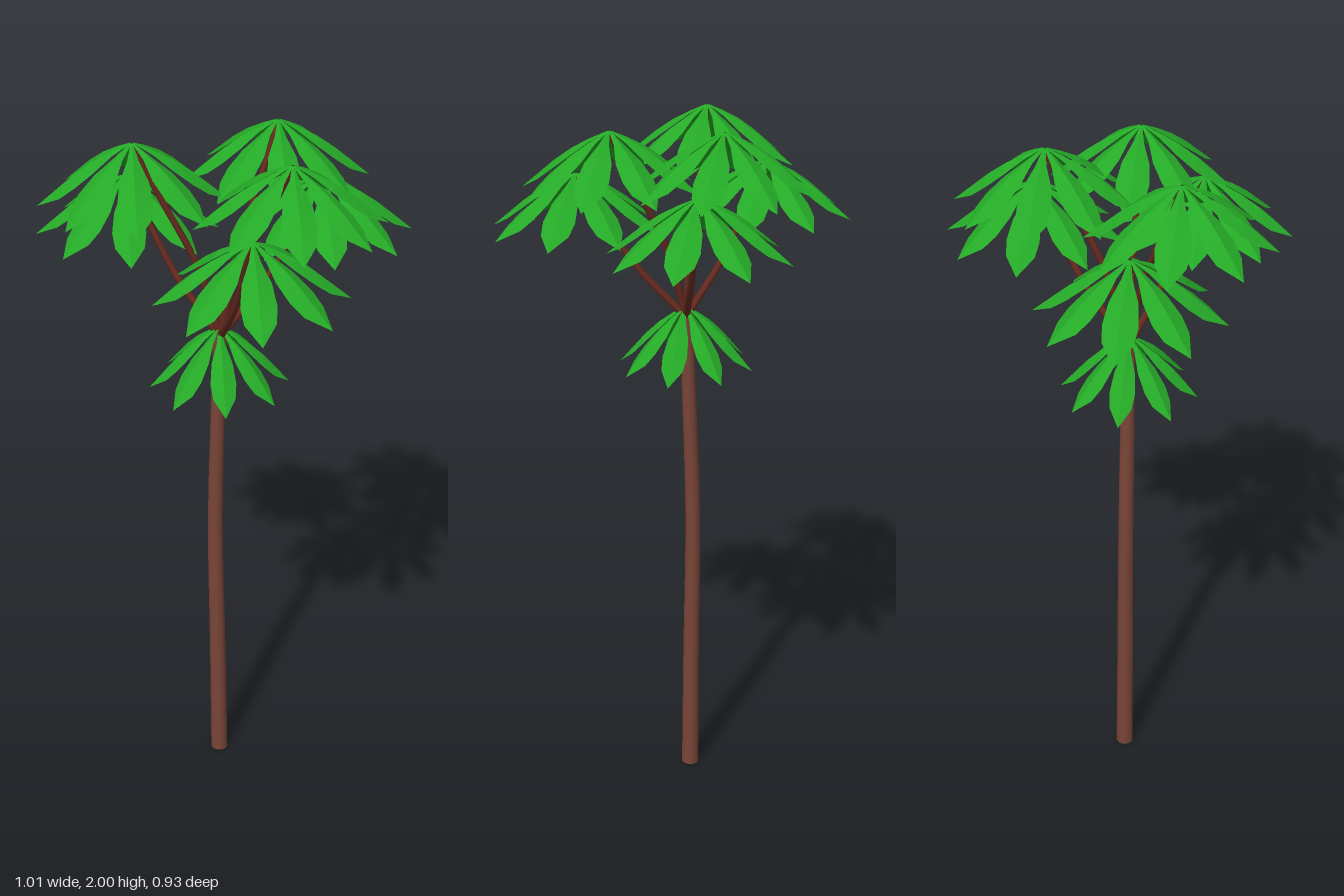
import * as THREE from 'three';
import { mergeGeometries } from 'three/addons/utils/BufferGeometryUtils.js';

const V = (x, y, z) => new THREE.Vector3(x, y, z);

// Tube along points whose radius changes evenly from r0 to r1
function taperedTube(points, r0, r1, segments, sides) {
  const curve = new THREE.CatmullRomCurve3(points);
  const geo = new THREE.TubeGeometry(curve, segments, 1, sides);
  const pos = geo.attributes.position;
  const p = V(0, 0, 0);
  for (let i = 0; i < pos.count; i++) {
    const t = Math.floor(i / (sides + 1)) / segments;
    const c = curve.getPointAt(t);
    p.fromBufferAttribute(pos, i).sub(c).multiplyScalar(r0 + (r1 - r0) * t).add(c);
    pos.setXYZ(i, p.x, p.y, p.z);
  }
  return geo;
}

// Drooping leaf folded along its midrib, pointing to +z.
// Each row: distance from stem, midrib height, half width, edge drop
function leafGeometry() {
  const rows = [
    [0.004, 0, 0.003, 0.001],
    [0.05, -0.02, 0.014, 0.008],
    [0.1, -0.046, 0.036, 0.018],
    [0.15, -0.08, 0.044, 0.02],
    [0.188, -0.111, 0.038, 0.016],
    [0.245, -0.158, 0, 0],
  ];
  const verts = [], index = [];
  rows.forEach(([z, y, w, d], i) => {
    verts.push(-w, y - d, z, 0, y, z, w, y - d, z);
    if (i === 0) return;
    const a = (i - 1) * 3, b = i * 3;
    for (const k of [0, 1]) {
      index.push(a + k, b + k, a + k + 1, a + k + 1, b + k, b + k + 1);
    }
  });
  const geo = new THREE.BufferGeometry();
  geo.setAttribute('position', new THREE.Float32BufferAttribute(verts, 3));
  geo.setIndex(index);
  return geo.toNonIndexed();
}

// Eight leaves spread like an umbrella
function rosetteGeometry() {
  const leaves = [];
  for (let i = 0; i < 8; i++) leaves.push(leafGeometry().rotateY(i * Math.PI / 4));
  return mergeGeometries(leaves);
}

export function createModel() {
  const model = new THREE.Group();
  model.name = 'umbrellaTree';

  const leafGreen = new THREE.MeshStandardMaterial({ color: 0x25aa27, side: THREE.DoubleSide });
  leafGreen.name = 'leafGreen';
  const bark = new THREE.MeshStandardMaterial({ color: 0x7a4538 });
  bark.name = 'barkBrown';
  const twig = new THREE.MeshStandardMaterial({ color: 0x652a1e });
  twig.name = 'twigBrown';

  const add = (name, geo, mat) => {
    const mesh = new THREE.Mesh(geo, mat);
    mesh.name = name;
    model.add(mesh);
    return mesh;
  };

  // Slightly bent trunk with a green underside
  const trunkPath = [V(0.01, 0, 0.05), V(0.005, 0.4, 0.05), V(-0.002, 0.85, 0.05),
    V(0.01, 1.25, 0.05), V(0.018, 1.47, 0.05)];
  add('trunk', taperedTube(trunkPath, 0.026, 0.019, 12, 10), bark);
  const base = add('trunkBase', new THREE.CircleGeometry(0.026, 10), leafGreen);
  base.rotation.x = Math.PI / 2;
  base.position.set(0.01, 0.001, 0.05);

  // Crown tips; the lower ones spread sooner than the upper ones
  const root = V(0.018, 1.455, 0.05);
  const tips = [
    V(-0.14, 2, 0.2), V(0.03, 2, -0.17), V(0.245, 1.99, 0.045),
    V(-0.265, 1.855, 0.095), V(0.26, 1.852, 0.215), V(0.14, 1.857, -0.225),
  ];
  const rosette = rosetteGeometry();
  rosette.computeVertexNormals();
  tips.forEach((tip, i) => {
    const spread = tip.y > 1.9 ? 0.26 : 0.48;
    const end = tip.clone().setY(tip.y - 0.008);
    const mid = root.clone().lerp(end, spread).setY(root.y + (end.y - root.y) * 0.38);
    const high = root.clone().lerp(end, spread * 0.4 + 0.6).setY(root.y + (end.y - root.y) * 0.75);
    add('branch' + (i + 1), taperedTube([root, mid, high, end], 0.011, 0.007, 12, 7), twig);
    add('leafCluster' + (i + 1), rosette, leafGreen).position.copy(tip);
  });

  // Smaller, steeper collar of leaves where the branches start
  const collar = rosette.clone().scale(0.78, 1.1, 0.78);
  collar.computeVertexNormals();
  add('leafCollar', collar, leafGreen).position.set(0.018, 1.485, 0.052);

  return model;
}
